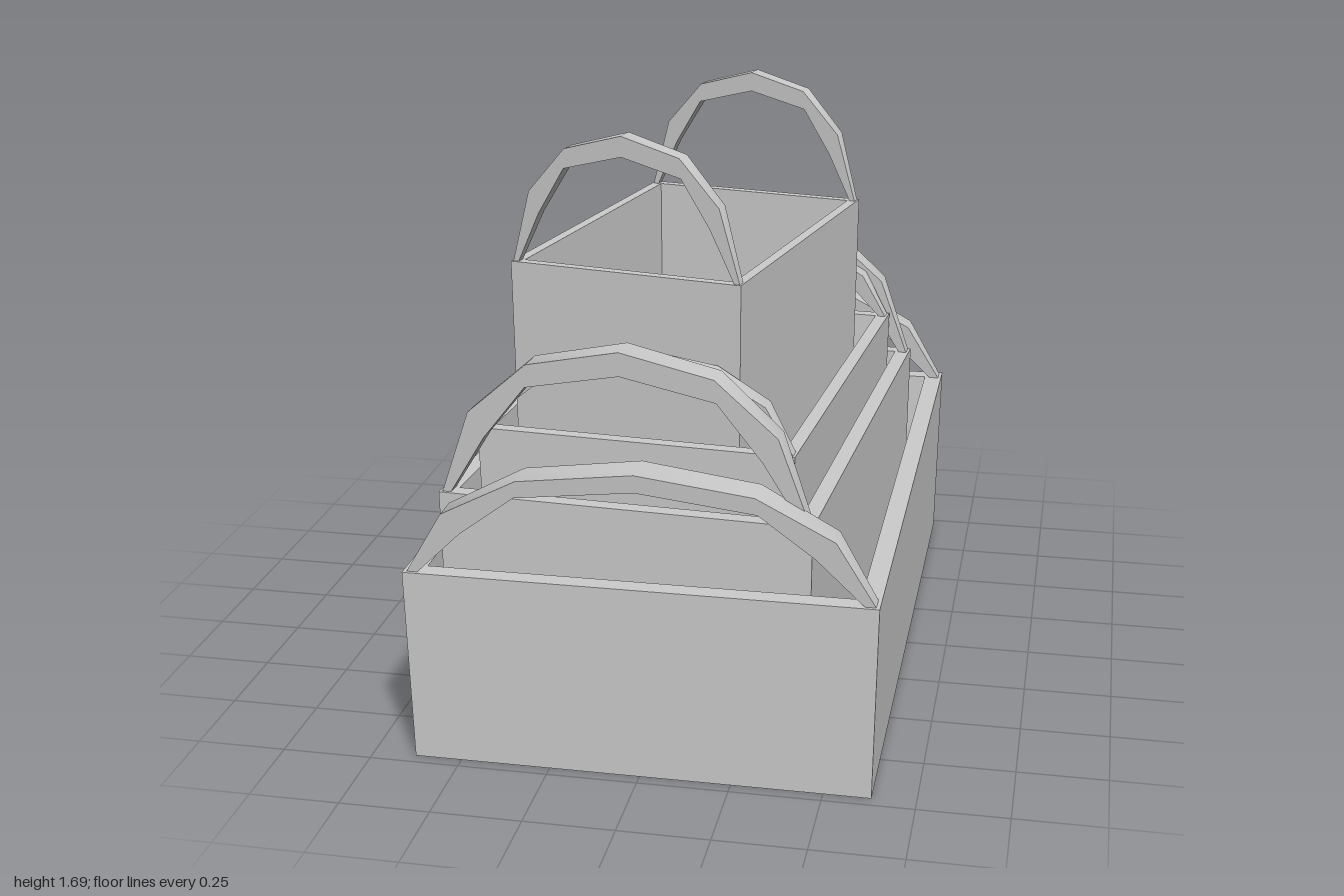
import * as THREE from 'three';
import { toCreasedNormals } from 'three/addons/utils/BufferGeometryUtils.js';

const TOP = 0.555; // rim height of the unscaled tray

// Skin a row of four-cornered rings and close both ends.
function loft(rings) {
  const pos = [];
  const quad = (a, b, c, d) => pos.push(...a, ...b, ...c, ...a, ...c, ...d);
  for (let i = 0; i < rings.length - 1; i++) {
    for (let j = 0; j < 4; j++) {
      const k = (j + 1) % 4;
      quad(rings[i][j], rings[i][k], rings[i + 1][k], rings[i + 1][j]);
    }
  }
  quad(...[...rings[0]].reverse());
  quad(...rings[rings.length - 1]);
  const geometry = new THREE.BufferGeometry();
  geometry.setAttribute('position', new THREE.Float32BufferAttribute(pos, 3));
  return toCreasedNormals(geometry, 0.75);
}

// Open tray with slightly flared walls: up the outside, over the rim, down the inside.
function trayGeometry() {
  const ring = (x, y, z) => [[x, y, z], [x, y, -z], [-x, y, -z], [-x, y, z]];
  return loft([
    ring(0.63, 0, 0.965),
    ring(0.64, TOP, 0.98),
    ring(0.585, TOP, 0.925),
    ring(0.575, 0.05, 0.91),
  ]);
}

// Arched strap, widest at its crown.
function handleGeometry() {
  const outer = [[0.63, 0], [0.525, 0.178], [0.316, 0.289], [0, 0.33]];
  const inner = [[0.6, 0], [0.474, 0.125], [0.322, 0.241], [0, 0.28]];
  const rings = [];
  for (let i = 0; i < 7; i++) {
    const k = i < 4 ? i : 6 - i;
    const side = i < 4 ? -1 : 1;
    const [ox, oy] = outer[k];
    const [ix, iy] = inner[k];
    const wo = 0.025 + 0.03 * oy / 0.33;
    const wi = 0.025 + 0.03 * iy / 0.33;
    rings.push([
      [side * ix, iy, wi], [side * ix, iy, -wi],
      [side * ox, oy, -wo], [side * ox, oy, wo],
    ]);
  }
  return loft(rings);
}

export function createModel() {
  const model = new THREE.Group();
  model.name = 'nestedBaskets';
  const material = new THREE.MeshStandardMaterial({ color: 0xcccccc });
  const tray = trayGeometry();
  const handle = handleGeometry();

  // Each basket is the same form, rescaled, turned and stacked in the next.
  const baskets = [
    { name: 'largeBasket', s: 1, sy: 1, rim: 0.555, x: 0, z: 0, turn: 0 },
    { name: 'mediumBasket', s: 0.803, sy: 1.333, rim: 0.74, x: -0.007, z: 0.097, turn: -0.065 },
    { name: 'smallBasket', s: 0.695, sy: 0.745, rim: 0.875, x: -0.006, z: 0.053, turn: -0.078 },
    { name: 'topBasket', s: 0.522, sy: 1.13, rim: 1.315, x: -0.008, z: 0.128, turn: -0.187 },
  ];
  for (const b of baskets) {
    const group = new THREE.Group();
    group.name = b.name;
    const body = new THREE.Mesh(tray, material);
    body.name = 'tray';
    group.add(body);
    // One strap over each end wall
    for (const end of [1, -1]) {
      const strap = new THREE.Mesh(handle, material);
      strap.name = end > 0 ? 'frontHandle' : 'backHandle';
      strap.position.set(0, TOP, end * 0.945);
      group.add(strap);
    }
    group.scale.set(b.s, b.sy, b.s);
    group.rotation.y = b.turn;
    group.position.set(b.x, Math.max(0, b.rim - TOP * b.sy), b.z);
    model.add(group);
  }
  return model;
}
